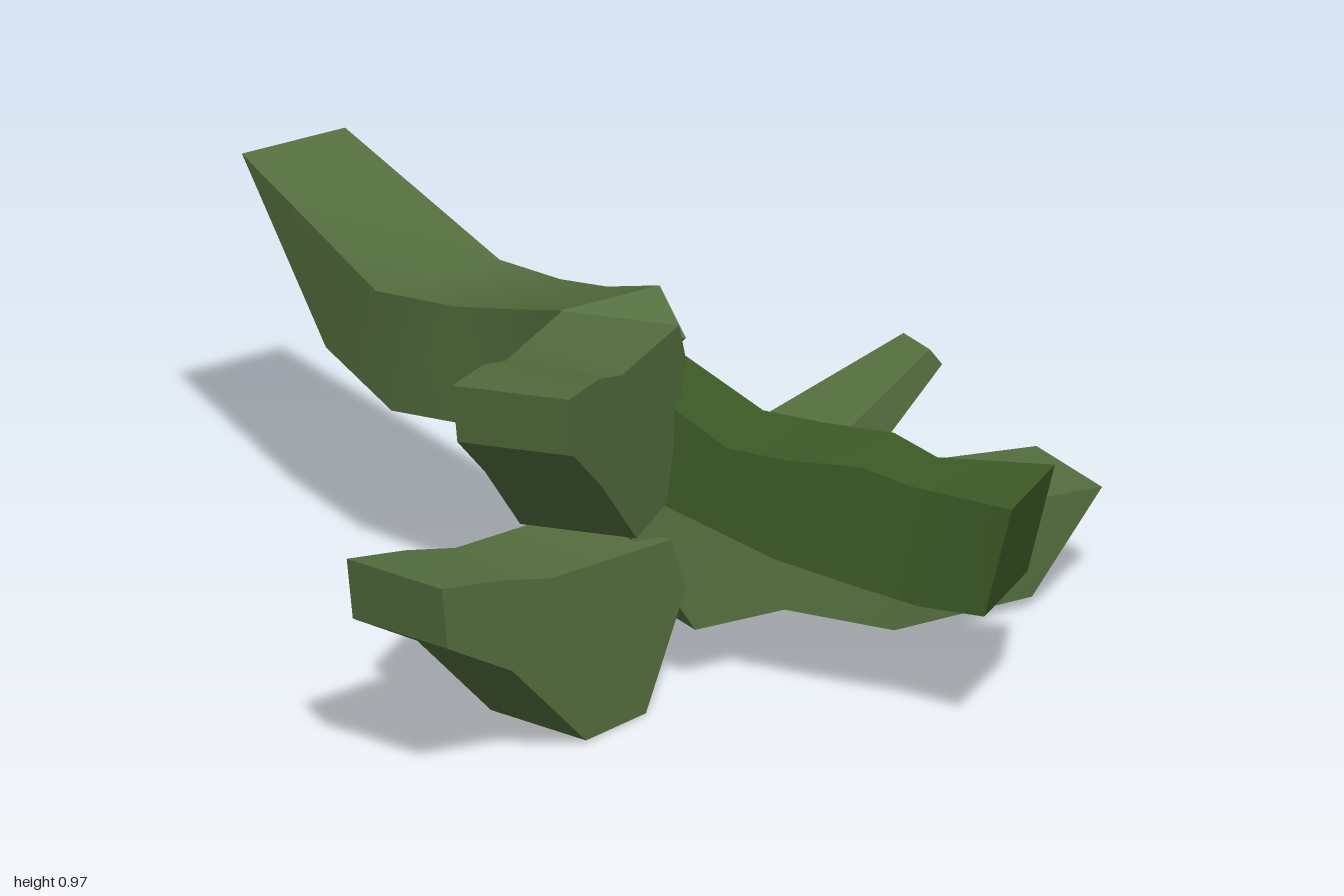
import * as THREE from 'three';
import { toCreasedNormals } from 'three/addons/utils/BufferGeometryUtils.js';

const green = new THREE.MeshStandardMaterial({ color: 0x55703f });
const darkGreen = new THREE.MeshStandardMaterial({ color: 0x3c5a26 });

// Lofts a four-sided frond outwards from (x, z) along direction (dx, dz).
// Section: [top distance, top y, bottom distance, bottom y, half width, sideways shift]
function frond(name, [x, z], [dx, dz], sections, material = green) {
  const len = Math.hypot(dx, dz);
  dx /= len;
  dz /= len;
  const rings = sections.map(([tt, yt, tb, yb, half, shift = 0]) =>
    [[tt, yt, 1], [tt, yt, -1], [tb, yb, -1], [tb, yb, 1]].map(([t, y, side]) => {
      const s = shift + side * half;
      return [x + dx * t - dz * s, y, z + dz * t + dx * s];
    }));
  const pos = [];
  const quad = (a, b, c, d) => pos.push(...a, ...b, ...c, ...a, ...c, ...d);
  for (let k = 0; k < rings.length - 1; k++) {
    for (let i = 0; i < 4; i++) {
      const j = (i + 1) % 4;
      quad(rings[k][i], rings[k + 1][i], rings[k + 1][j], rings[k][j]);
    }
  }
  // End caps
  const [p, q, r, s] = rings[rings.length - 1];
  quad(...rings[0]);
  quad(s, r, q, p);
  const geo = new THREE.BufferGeometry();
  geo.setAttribute('position', new THREE.Float32BufferAttribute(pos, 3));
  const mesh = new THREE.Mesh(toCreasedNormals(geo, 0.5), material);
  mesh.name = name;
  return mesh;
}

export function createModel() {
  const group = new THREE.Group();
  group.name = 'frondCluster';

  group.add(
    // Long frond reaching back with an upturned tip
    frond('backFrond', [-0.12, 0.22], [0, -1], [
      [0.10, 0.81, 0.00, 0.73, 0.12],
      [0.27, 0.75, 0.20, 0.51, 0.11, -0.01],
      [0.47, 0.69, 0.40, 0.45, 0.13, -0.015],
      [0.71, 0.645, 0.65, 0.40, 0.15, -0.03],
      [1.22, 0.765, 0.90, 0.45, 0.125, -0.055],
    ]),
    // Low frond on the left
    frond('leftLowerFrond', [0, 0.235], [1, 0], [
      [-0.17, 0.47, -0.24, 0.42, 0.115],
      [-0.05, 0.45, -0.06, 0.14, 0.115],
      [0.20, 0.34, 0.15, 0.14, 0.125],
      [0.43, 0.28, 0.40, 0.045, 0.15],
      [0.92, 0.235, 0.75, 0.03, 0.125],
    ]),
    // Small tapering shoot above it
    frond('leftShoot', [0, 0.235], [1, 0], [
      [-0.10, 0.50, -0.10, 0.40, 0.115],
      [0.00, 0.507, 0.00, 0.30, 0.115],
      [0.255, 0.463, 0.28, 0.335, 0.115],
      [0.55, 0.60, 0.58, 0.56, 0.05],
    ]),
    // Darker frond towards the front, with a narrow waist
    frond('frontFrond', [-0.2, 0.115], [0.6, 0.8], [
      [0.19, 0.695, 0.08, 0.55, 0.10],
      [0.37, 0.59, 0.18, 0.46, 0.105],
      [0.50, 0.583, 0.47, 0.36, 0.105],
      [0.66, 0.588, 0.65, 0.32, 0.095],
      [0.76, 0.555, 0.78, 0.29, 0.08],
      [1.00, 0.557, 0.94, 0.31, 0.125],
    ], darkGreen),
    // Two blade-like fronds on the right
    frond('rightUpperFrond', [-0.16, 0.24], [-0.765, 0.645], [
      [0.03, 0.83, -0.02, 0.73, 0.125],
      [0.22, 0.855, 0.12, 0.47, 0.125],
      [0.42, 0.88, 0.32, 0.475, 0.125],
      [0.575, 0.935, 0.56, 0.69, 0.125],
      [0.785, 0.975, 0.75, 0.835, 0.125],
    ]),
    frond('rightLowerFrond', [-0.125, 0.235], [-0.95, 0.32], [
      [0.05, 0.365, 0.00, 0.24, 0.125],
      [0.27, 0.39, 0.13, 0.005, 0.125],
      [0.44, 0.41, 0.325, 0.01, 0.125],
      [0.605, 0.46, 0.565, 0.245, 0.125],
      [0.795, 0.505, 0.775, 0.365, 0.125],
    ]),
  );
  return group;
}
